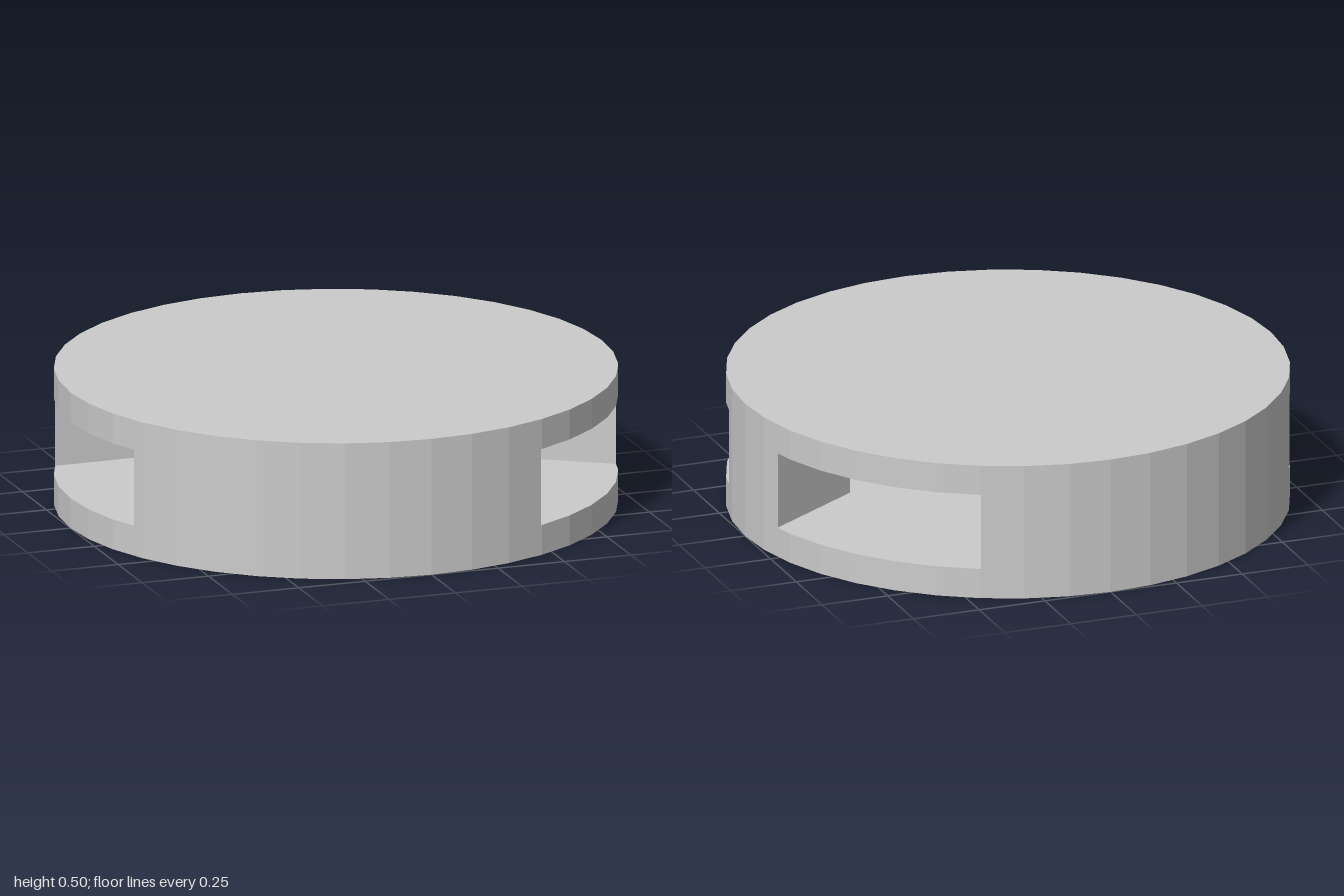
import * as THREE from 'three';

const SIDES = 40;
const STEP = 360 / SIDES;
const HEIGHT = 0.5, FLOOR = 0.11, CEILING = 0.39;

// Point on the faceted rim (x, z) at an angle in degrees from +x towards +z
function rimPoint(deg) {
  const rad = THREE.MathUtils.degToRad;
  const middle = (Math.floor(deg / STEP) + 0.5) * STEP;
  const r = Math.cos(rad(STEP / 2)) / Math.cos(rad(deg - middle));
  return [r * Math.cos(rad(deg)), r * Math.sin(rad(deg))];
}

// Rim from one angle to another, through every facet corner between
function rimArc(from, to) {
  const points = [rimPoint(from)];
  for (let a = (Math.floor(from / STEP) + 1) * STEP; a < to; a += STEP) points.push(rimPoint(a));
  points.push(rimPoint(to));
  return points;
}

export function createModel() {
  const group = new THREE.Group();
  const material = new THREE.MeshStandardMaterial({ color: 0xcccccc, flatShading: true });

  // Upright prism over an outline of [x, z] points
  function addPrism(name, outline, bottom, top) {
    const shape = new THREE.Shape(outline.map(([x, z]) => new THREE.Vector2(x, z)));
    const geometry = new THREE.ExtrudeGeometry(shape, { depth: top - bottom, bevelEnabled: false });
    geometry.rotateX(Math.PI / 2).translate(0, top, 0);
    const mesh = new THREE.Mesh(geometry, material);
    mesh.name = name;
    group.add(mesh);
  }

  // Closed discs below and above the channels
  const disc = rimArc(0, 360 - STEP);
  addPrism('bottomDisc', disc, 0, FLOOR);
  addPrism('topDisc', disc, CEILING, HEIGHT);

  // Pointed divider between the two branches of the Y-shaped channel
  addPrism('channelDivider', [...rimArc(-13.8, 13.8), [0.6, 0]], FLOOR, CEILING);

  // Outer walls: rim outside, bent channel wall inside
  const wall = [...rimArc(63.2, 155.6), [-0.28, 0.42], [-0.2, 0.46], [0.39, 0.85]];
  addPrism('leftChannelWall', wall, FLOOR, CEILING);
  addPrism('rightChannelWall', wall.map(([x, z]) => [x, -z]), FLOOR, CEILING);

  return group;
}
